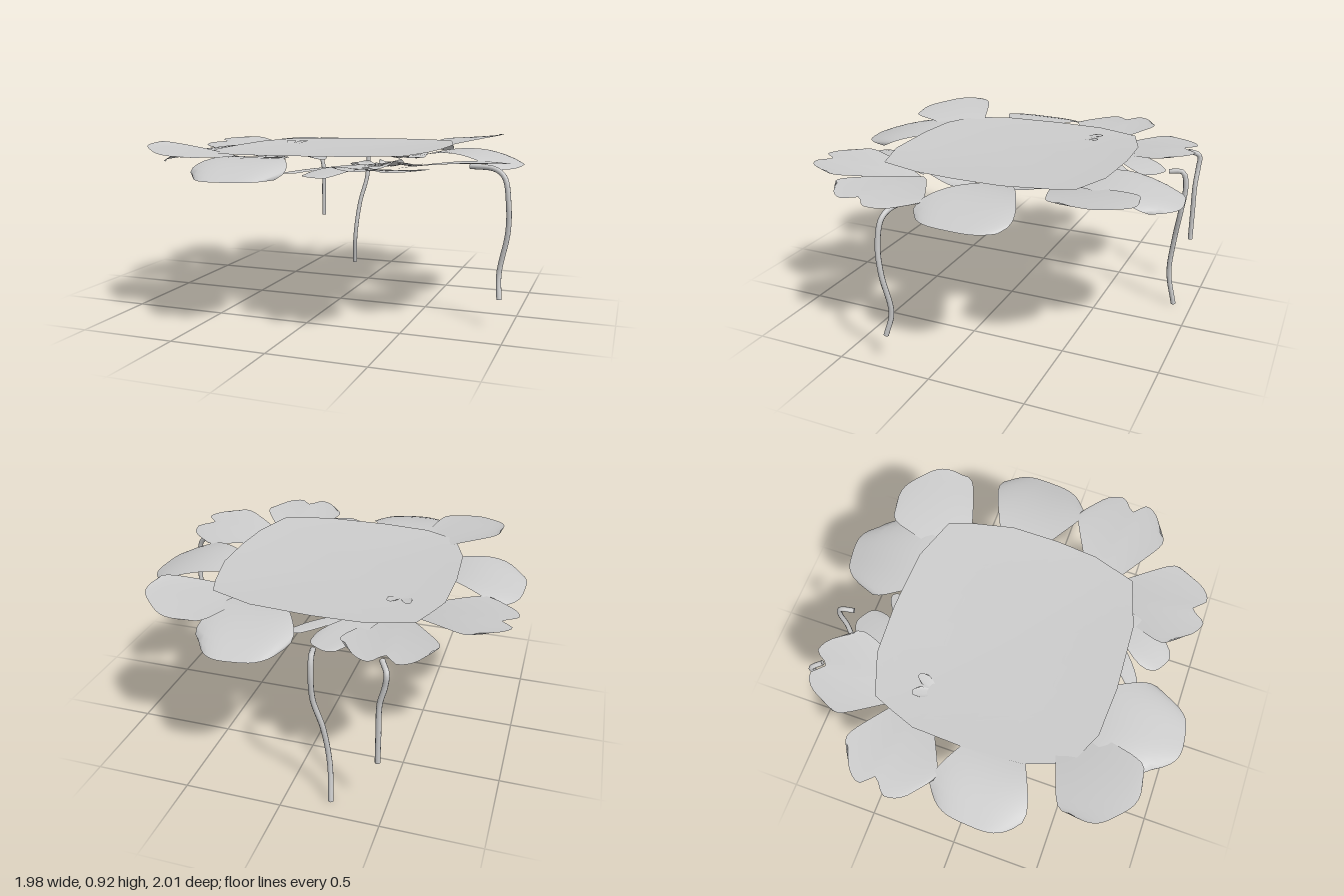
import * as THREE from 'three';

const material = new THREE.MeshStandardMaterial({ color: 0xcccccc, side: THREE.DoubleSide });

// Builds a sheet from a grid: fn(u, v) -> [x, y, z], u in 0..1, v in -1..1
function sheet(name, nu, nv, fn) {
  const pos = [], index = [];
  for (let i = 0; i <= nu; i++) {
    for (let j = 0; j <= nv; j++) pos.push(...fn(i / nu, (j / nv) * 2 - 1));
  }
  for (let i = 0; i < nu; i++) {
    for (let j = 0; j < nv; j++) {
      const a = i * (nv + 1) + j, b = a + 1, c = a + nv + 1, d = c + 1;
      index.push(a, b, c, b, d, c);
    }
  }
  const g = new THREE.BufferGeometry();
  g.setAttribute('position', new THREE.Float32BufferAttribute(pos, 3));
  g.setIndex(index);
  g.computeVertexNormals();
  const m = new THREE.Mesh(g, material);
  m.name = name;
  return m;
}

// Petal from base to tip (x, z), with heights at base, middle and tip
function petal(name, { base, tip, w, y, cup = 0, tilt = 0, notch = 0, at = 0, bow = 0.25 }) {
  const dx = tip[0] - base[0], dz = tip[1] - base[1], len = Math.hypot(dx, dz);
  const ax = dx / len, az = dz / len;
  return sheet(name, 12, 16, (u, v) => {
    const s = len * (u * (1 - bow * u * Math.abs(v) ** 3.5)
      - notch * u ** 4 * Math.max(0, 1 - Math.abs(v - at) / 0.3));
    const t = v * w * u ** 0.75 * (1 - 0.3 * u ** 8);
    const h = y[0] * (1 - u) * (1 - 2 * u) + y[1] * 4 * u * (1 - u) + y[2] * u * (2 * u - 1);
    return [base[0] + ax * s + az * t, h + (cup * v * v + tilt * v) * u, base[1] + az * s - ax * t];
  });
}

// Large flower with three broad petals
function broadFlower() {
  const g = new THREE.Group();
  g.name = 'broadFlower';
  g.add(
    petal('droopingPetal', { base: [0.29, -0.28], tip: [0.2, -1], w: 0.29, y: [0.81, 0.86, 0.785], bow: 0.2 }),
    petal('raisedPetal', { base: [0.33, -0.38], tip: [0.71, -0.79], w: 0.29, y: [0.82, 0.875, 0.9], tilt: -0.025, bow: 0.2 }),
    petal('sidePetal', { base: [0.38, -0.15], tip: [0.98, -0.115], w: 0.31, y: [0.81, 0.86, 0.79], bow: 0.12 }),
  );
  // short inner petals
  [[0.2, -0.3], [0.36, -0.06], [0.26, -0.13]].forEach(tip => g.add(
    petal('innerPetal', { base: [0.42, -0.32], tip, w: 0.06, y: [0.83, 0.81, 0.82] })));
  return g;
}

// Flower with notched petals and a cluster of small ones
function notchedFlower() {
  const g = new THREE.Group();
  g.name = 'notchedFlower';
  const base = [-0.41, -0.32];
  g.add(
    petal('notchedPetal', { base, tip: [-0.99, -0.36], w: 0.3, y: [0.8, 0.84, 0.85], tilt: -0.02, notch: 0.13, at: -0.1 }),
    petal('notchedPetal', { base, tip: [-0.48, -0.915], w: 0.28, y: [0.785, 0.83, 0.85], notch: 0.13, at: -0.03 }),
    petal('smallPetal', { base, tip: [-0.13, -0.79], w: 0.12, y: [0.81, 0.83, 0.8], bow: 0.08 }),
    petal('smallPetal', { base, tip: [0.04, -0.68], w: 0.05, y: [0.81, 0.82, 0.8], bow: 0.08 }),
  );
  // inner petals fanned towards the middle
  for (let i = 0; i < 6; i++) {
    const a = -0.75 + i * 0.48, r = i % 2 ? 0.34 : 0.25;
    g.add(petal('innerPetal', {
      base, tip: [base[0] + Math.cos(a) * r, base[1] + Math.sin(a) * r],
      w: 0.08, y: [0.84, 0.8, i % 2 ? 0.785 : 0.81], cup: 0.02,
    }));
  }
  // slivers rising through the pad
  [[-0.46, -0.37], [-0.36, -0.37]].forEach(tip => g.add(
    petal('heartSliver', { base: [-0.41, -0.24], tip, w: 0.035, y: [0.845, 0.86, 0.87] })));
  return g;
}

// Wide, slightly dished pad with a rounded square outline
function pad() {
  const rim = [[-0.32, -0.62], [-0.05, -0.635], [0.27, -0.62], [0.5, -0.54], [0.54, -0.42], [0.59, -0.2],
    [0.59, 0.05], [0.57, 0.27], [0.5, 0.5], [0.25, 0.58], [-0.1, 0.6], [-0.36, 0.585], [-0.54, 0.5],
    [-0.62, 0.28], [-0.64, -0.02], [-0.63, -0.3], [-0.58, -0.44], [-0.54, -0.54]];
  const n = rim.length;
  return sheet('centralPad', 8, n, (u, v) => {
    const p = rim[(n - Math.round((v + 1) / 2 * n)) % n];
    const x = -0.02 + (p[0] + 0.02) * u, z = p[1] * u;
    return [x, 0.855 + 0.02 * u * u + 0.015 * x, z];
  });
}

// Thin bent stem
function stem(points) {
  const curve = new THREE.CatmullRomCurve3(points.map(p => new THREE.Vector3(...p)));
  const g = new THREE.Group();
  g.name = 'stem';
  const r = 0.0135;
  const tube = new THREE.Mesh(new THREE.TubeGeometry(curve, 40, r, 10), material);
  tube.name = 'stemTube';
  g.add(tube);
  // closed ends
  [0, 1].forEach(t => {
    const cap = new THREE.Mesh(new THREE.CircleGeometry(r, 10), material);
    cap.name = 'stemEnd';
    cap.position.copy(curve.getPointAt(t));
    cap.lookAt(cap.position.clone().addScaledVector(curve.getTangentAt(t), t ? 1 : -1));
    g.add(cap);
  });
  return g;
}

export function createModel() {
  const model = new THREE.Group();
  model.name = 'flowerPatch';
  model.add(pad());

  // each flower repeats on the opposite corner
  [0, Math.PI].forEach(turn => {
    [broadFlower(), notchedFlower()].forEach(f => {
      f.rotation.y = turn;
      model.add(f);
    });
  });

  model.add(
    stem([[-0.46, 0.84, -0.87], [-0.495, 0.81, -0.925], [-0.49, 0.74, -0.925], [-0.467, 0.64, -0.92],
      [-0.465, 0.48, -0.92], [-0.465, 0.315, -0.92]]),
    stem([[-0.13, 0.82, -0.84], [-0.145, 0.82, -0.91], [-0.148, 0.75, -0.93], [-0.15, 0.6, -0.915],
      [-0.19, 0.42, -0.885], [-0.215, 0.2, -0.865], [-0.23, 0.005, -0.9]]),
    stem([[0.77, 0.815, 0.2], [0.9, 0.808, 0.23], [0.95, 0.77, 0.245], [0.975, 0.64, 0.255], [0.975, 0.5, 0.245],
      [0.935, 0.28, 0.228], [0.945, 0.155, 0.26]]),
  );
  return model;
}
